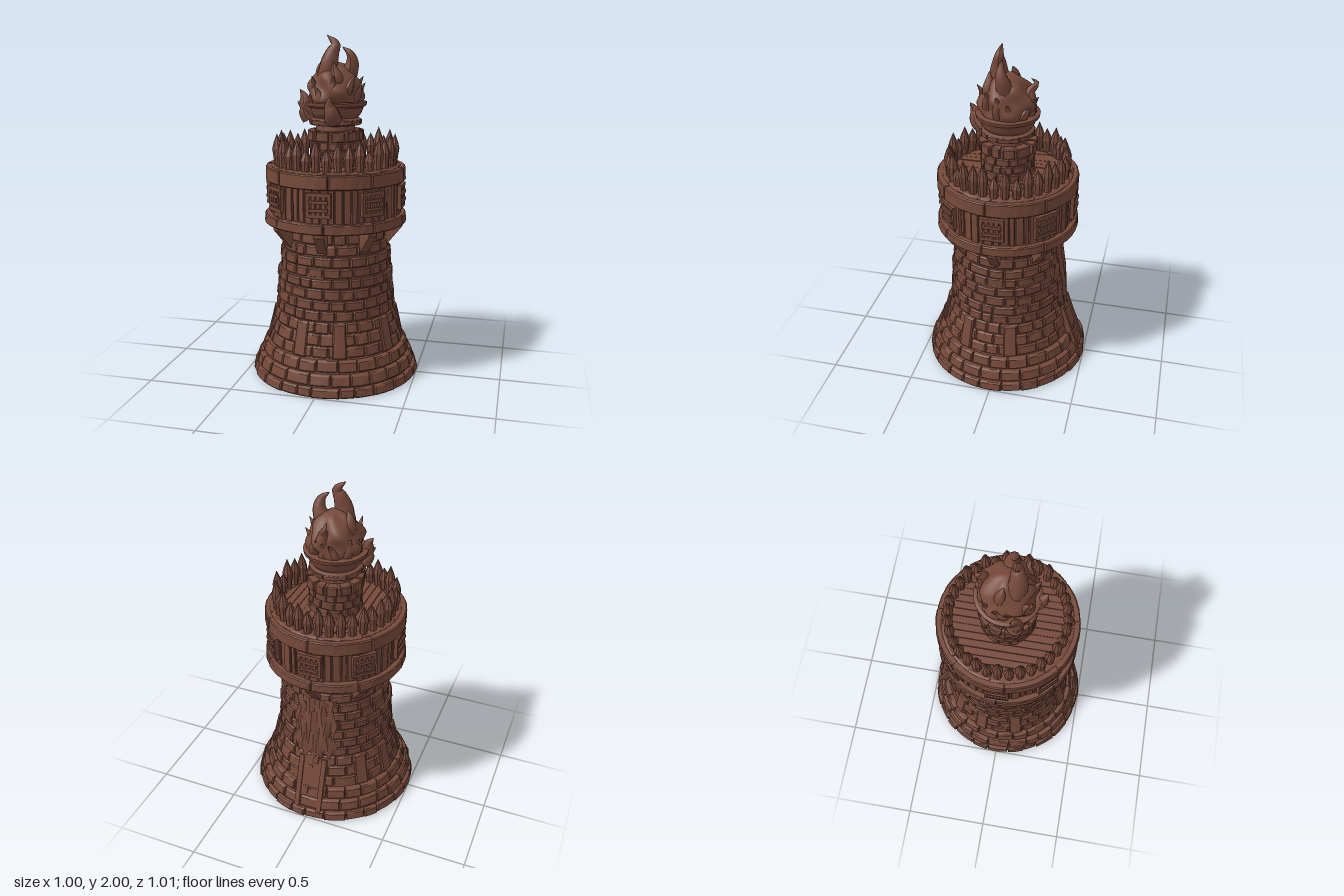
import * as THREE from 'three';
import { mergeGeometries } from 'three/addons/utils/BufferGeometryUtils.js';

const flat = new THREE.MeshStandardMaterial({ color: 0x75493a, flatShading: true });
const smooth = new THREE.MeshStandardMaterial({ color: 0x75493a });
const cloth = new THREE.MeshStandardMaterial({ color: 0x75493a, flatShading: true, side: THREE.DoubleSide });

let seed = 7;
const rnd = (a = 0, b = 1) => {
  seed = (seed * 16807) % 2147483647;
  return a + (b - a) * (seed / 2147483647);
};
const TAU = Math.PI * 2, DEG = Math.PI / 180;
const v = (x, y, z) => new THREE.Vector3(x, y, z);

function add(group, name, geometry, material = flat) {
  const mesh = new THREE.Mesh(geometry, material);
  mesh.name = name;
  group.add(mesh);
  return mesh;
}

// Geometry built facing +z, moved out to radius r and turned to angle a.
const around = (geo, a, r, y) => geo.translate(0, y, r).rotateY(a);

// Chamfered block bent round the tower axis, leaning from rb (foot) to rt (top).
function block(a0, a1, y0, y1, rb, rt, depth = 0.05, bevel = 0.007, seg = 4) {
  const g = new THREE.BoxGeometry(1, 1, 1, seg, 3, 1), p = g.attributes.position;
  const mx = Math.min(0.2, bevel / ((a1 - a0) * rb)), my = Math.min(0.25, bevel / (y1 - y0));
  for (let i = 0; i < p.count; i++) {
    let x = p.getX(i), y = p.getY(i);
    const outer = p.getZ(i) > 0;
    const edge = Math.abs(x) > 0.499 || Math.abs(y) > 0.499;
    if (Math.abs(y) < 0.4) y = Math.sign(y) * (0.5 - my);
    if (Math.abs(x) < 0.499 && Math.abs(x) > 0.499 - 1 / seg) x = Math.sign(x) * (0.5 - mx);
    const t = y + 0.5, a = a0 + (x + 0.5) * (a1 - a0);
    let r = rb + (rt - rb) * t;
    if (!outer) r -= depth;
    else r += edge ? -bevel : rnd(-0.002, 0.002);
    p.setXYZ(i, Math.sin(a) * r, y0 + (y1 - y0) * t, Math.cos(a) * r);
  }
  g.computeVertexNormals();
  return g;
}

// One ring of blocks with uneven widths and a small gap between them.
function course(n, y0, y1, rb, rt, { gap = 0.004, offset = 0, vary = 0.2, depth, bevel, seg, jut = 0.004 } = {}) {
  const cuts = Array.from({ length: n }, (_, i) => ((i + offset + rnd(-vary, vary)) / n) * TAU);
  return mergeGeometries(cuts.map((a, i) => {
    const b = i < n - 1 ? cuts[i + 1] : cuts[0] + TAU, j = rnd(-jut, jut), h = gap / rb / 2;
    return block(a + h, b - h, y0 + rnd(0, 0.002), y1 - rnd(0, 0.003), rb + j, rt + j, depth, bevel, seg);
  }));
}

// Tapering curved tongue: a tube whose radius follows a fat-then-pointed rule.
function tongue(points, radius) {
  const curve = new THREE.CatmullRomCurve3(points), n = 18, m = 10;
  const g = new THREE.TubeGeometry(curve, n, 1, m), p = g.attributes.position, q = v(0, 0, 0);
  for (let i = 0; i < p.count; i++) {
    const u = Math.floor(i / (m + 1)) / n, c = curve.getPointAt(u);
    const r = radius * (0.85 + 0.5 * u) * Math.pow(1 - u, 0.95) + 0.001;
    q.fromBufferAttribute(p, i).sub(c).multiplyScalar(r).add(c);
    p.setXYZ(i, q.x, q.y, q.z);
  }
  g.computeVertexNormals();
  return g;
}

// Wall radius by height, used by the core and the banner.
const PROFILE = [[0, 0.485], [0.06, 0.467], [0.13, 0.432], [0.2, 0.397], [0.3, 0.374], [0.4, 0.348], [0.6, 0.332], [0.8, 0.306], [0.89, 0.294]];
function wallRadius(y) {
  const i = Math.max(1, PROFILE.findIndex(([h]) => h >= y));
  const [y0, r0] = PROFILE[i - 1], [y1, r1] = PROFILE[i];
  return r0 + ((r1 - r0) * (y - y0)) / (y1 - y0);
}

function buildTower(root) {
  const g = new THREE.Group();
  g.name = 'stoneTower';
  root.add(g);
  // Core with the hollow shaft, flared foot, gallery underside and deck bed
  const pts = [[0, 0.85], [0.26, 0.85], [0.305, 0.15], [0.42, 0], ...PROFILE.map(([y, r]) => [r, y]),
    [0.39, 0.925], [0.4, 0.97], [0.372, 0.98], [0.372, 1.18], [0.39, 1.19], [0.385, 1.235], [0.33, 1.24], [0, 1.24]];
  add(g, 'core', new THREE.LatheGeometry(pts.map(([x, y]) => new THREE.Vector2(x, y)), 64));
  // Brick courses: foot, top, foot radius, top radius, count
  [[0, 0.055, 0.502, 0.492, 26], [0.06, 0.125, 0.48, 0.462, 24], [0.13, 0.195, 0.446, 0.43, 24],
    [0.2, 0.262, 0.405, 0.392, 24], [0.265, 0.332, 0.392, 0.375, 24], [0.335, 0.397, 0.375, 0.36, 24],
    [0.4, 0.459, 0.357, 0.353, 24], [0.462, 0.52, 0.352, 0.347, 22], [0.523, 0.586, 0.346, 0.341, 22],
    [0.59, 0.645, 0.345, 0.343, 22], [0.65, 0.706, 0.33, 0.327, 22], [0.71, 0.768, 0.332, 0.328, 20],
    [0.772, 0.832, 0.317, 0.313, 20], [0.836, 0.915, 0.306, 0.302, 20],
  ].forEach(([y0, y1, rb, rt, n], i) => add(g, 'brickCourse', course(n, y0, y1, rb, rt, { offset: (i % 2) / 2 })));
  // Tall tapered jambs around the blocked doorways
  [-17, 17, 63, 105, 225, 253, 287].forEach(d => {
    const a = d * DEG;
    add(g, 'doorJamb', block(a - 0.1, a + 0.1, 0.2, 0.395, 0.415, 0.37));
  });
  // Leaning framed slab at the back foot
  const rise = 0.36, run = 0.12, length = Math.hypot(rise, run), slab = new THREE.Group();
  slab.name = 'backSlab';
  add(slab, 'slabPanel', new THREE.BoxGeometry(0.13, length, 0.04));
  for (const s of [-1, 1]) add(slab, 'slabRail', new THREE.BoxGeometry(0.03, length, 0.06)).position.x = s * 0.072;
  slab.position.set(0, rise / 2 + 0.01, -0.403);
  slab.rotation.x = Math.atan2(run, rise);
  g.add(slab);
  // Torn cloth hanging on the back wall
  const banner = new THREE.PlaneGeometry(1, 1, 16, 14), p = banner.attributes.position;
  for (let i = 0; i < p.count; i++) {
    const x = p.getX(i), t = p.getY(i) + 0.5;
    const torn = 0.05 * Math.abs(Math.sin(x * 17)) + 0.06 * Math.abs(x);
    const y = 0.36 + torn * (1 - t) + t * 0.44;
    const a = Math.PI + x * (0.74 + 0.06 * Math.sin(t * 14));
    const r = wallRadius(y) + 0.021 + 0.007 * Math.sin(x * 22 + t * 5);
    p.setXYZ(i, Math.sin(a) * r, y, Math.cos(a) * r);
  }
  banner.computeVertexNormals();
  add(g, 'banner', banner, cloth);
}

function buildGallery(root) {
  const g = new THREE.Group();
  g.name = 'timberGallery';
  root.add(g);
  const beam = { seg: 12, gap: 0.002, bevel: 0.006, jut: 0.002 };
  add(g, 'lowerRing', course(8, 0.92, 0.98, 0.418, 0.415, beam));
  add(g, 'upperRing', course(8, 1.17, 1.254, 0.411, 0.409, { ...beam, depth: 0.06 }));
  add(g, 'wallPlanks', course(56, 0.975, 1.175, 0.386, 0.386, { seg: 3, depth: 0.025, bevel: 0.004, jut: 0.006 }));
  // Triangular brackets under the gallery
  const tri = new THREE.Shape([[0.27, 0.78], [0.312, 0.79], [0.4, 0.9], [0.4, 0.925], [0.27, 0.925]].map(q => new THREE.Vector2(...q)));
  for (let i = 0; i < 8; i++) {
    const a = (i / 8) * TAU;
    const bracket = new THREE.ExtrudeGeometry(tri, { depth: 0.055, bevelEnabled: false });
    add(g, 'bracket', bracket.translate(0, 0, -0.0275).rotateY(a - Math.PI / 2));
    // Barred window on each side: frame, upright and cross bars
    const parts = [];
    const bar = (w, h, x, y, out) => parts.push(around(new THREE.BoxGeometry(w, h, 0.022).translate(x, 0, 0), a, out, y));
    for (const s of [-1, 1]) {
      bar(0.02, 0.13, s * 0.06, 1.085, 0.392);
      bar(0.14, 0.02, 0, 1.085 + s * 0.06, 0.394);
    }
    for (const x of [-0.03, 0, 0.03]) bar(0.02, 0.11, x, 1.085, 0.392);
    for (const y of [-0.026, 0.02]) bar(0.11, 0.018, 0, 1.085 + y, 0.401);
    add(g, 'barredWindow', mergeGeometries(parts));
  }
  // Deck boards
  const boards = [];
  for (let i = -7; i <= 7; i++) {
    const x = i * 0.043, len = 2 * Math.sqrt(0.33 ** 2 - x * x);
    boards.push(new THREE.BoxGeometry(0.04, 0.02, len).translate(x, 1.243 + rnd(0, 0.006), 0));
  }
  add(g, 'deckBoards', mergeGeometries(boards));
  add(g, 'deckKerb', course(8, 1.24, 1.262, 0.385, 0.372, { ...beam, depth: 0.06 }));
  // Palisade of sharpened stakes, tall ones between shorter ones
  const count = 34, stake = [[0, 0], [0.023, 0], [0.025, 0.06], [0.031, 0.115], [0.022, 0.15], [0, 0.21]];
  for (let i = 0; i < count; i++) {
    const a = ((i + 0.5) / count) * TAU, s = i % 2 ? rnd(0.85, 1) : rnd(0.6, 0.9);
    const geo = new THREE.LatheGeometry(stake.map(([r, y]) => new THREE.Vector2(r, y * s)), 8);
    add(g, 'stake', around(geo.rotateY(rnd(0, 1)).rotateX(rnd(-0.05, 0.05)), a, 0.337, 1.245));
  }
}

function buildBrazier(root) {
  const g = new THREE.Group();
  g.name = 'brazier';
  root.add(g);
  // Pedestal and fire bowl
  const pts = [[0.145, 1.24], [0.145, 1.44], [0.115, 1.455], [0.112, 1.485], [0.145, 1.495], [0.15, 1.52], [0.13, 1.53],
    [0.15, 1.555], [0.162, 1.59], [0.178, 1.6], [0.182, 1.62], [0.165, 1.625], [0, 1.6]];
  add(g, 'pedestalAndBowl', new THREE.LatheGeometry(pts.map(q => new THREE.Vector2(...q)), 32));
  [1.25, 1.3, 1.35].forEach((y, i) =>
    add(g, 'pedestalBricks', course(14, y, y + 0.048, 0.155, 0.153, { offset: (i % 2) / 2, depth: 0.03, bevel: 0.005, jut: 0.003 })));
  add(g, 'pedestalCrown', course(12, 1.4, 1.46, 0.165, 0.165, { gap: 0.018, depth: 0.05, bevel: 0.005 }));
  add(g, 'bowlBand', course(8, 1.49, 1.522, 0.154, 0.154, { depth: 0.03, bevel: 0.005 }));
}

function buildFire(root) {
  const g = new THREE.Group();
  g.name = 'fire';
  root.add(g);
  // Swirled body
  const body = new THREE.SphereGeometry(1, 40, 28), p = body.attributes.position;
  for (let i = 0; i < p.count; i++) {
    const x = p.getX(i), y = p.getY(i), z = p.getZ(i), a = Math.atan2(x, z);
    const r = 0.152 * (1 - 0.14 * y) * (1 + 0.09 * Math.sin(a * 5 + y * 5) + 0.05 * Math.sin(a * 3 - y * 7));
    p.setXYZ(i, x * r, 1.69 + y * 0.155, z * r);
  }
  body.computeVertexNormals();
  add(g, 'fireBody', body, smooth);
  // Tall tongues, then the side ones that spill over the bowl
  [[0.088, v(-0.03, 1.72, 0.03), v(-0.04, 1.8, 0.05), v(-0.02, 1.87, 0.05)],
    [0.075, v(-0.03, 1.74, 0.04), v(-0.025, 1.83, 0.055), v(-0.005, 1.9, 0.05), v(0.012, 1.94, 0.045), v(-0.04, 1.995, 0.04)],
    [0.07, v(0.05, 1.7, 0), v(0.075, 1.77, 0), v(0.1, 1.84, 0.01), v(0.09, 1.89, 0.02), v(0.045, 1.93, 0.02)],
    [0.05, v(0.02, 1.64, -0.1), v(0.03, 1.7, -0.13), v(0.02, 1.76, -0.13), v(0, 1.8, -0.16), v(0, 1.825, -0.13)],
    [0.06, v(-0.06, 1.7, 0), v(-0.085, 1.76, -0.02), v(-0.09, 1.81, -0.02), v(-0.07, 1.86, -0.01)],
    [0.06, v(0, 1.68, 0.08), v(0.03, 1.75, 0.1), v(0.02, 1.8, 0.1), v(0.01, 1.85, 0.1)],
    [0.055, v(-0.12, 1.56, 0.06), v(-0.16, 1.61, 0.07), v(-0.17, 1.65, 0.06), v(-0.2, 1.69, 0.05)],
    [0.06, v(0.02, 1.53, 0.14), v(0.02, 1.56, 0.17), v(0.01, 1.61, 0.185), v(0.02, 1.66, 0.21)],
    [0.055, v(-0.14, 1.53, 0.06), v(-0.16, 1.56, 0.07), v(-0.17, 1.59, 0.07), v(-0.205, 1.62, 0.08)],
  ].forEach(([r, ...pts]) => add(g, 'flameTongue', tongue(pts, r), smooth));
  // Small licks curling out around the body
  for (let i = 0; i < 11; i++) {
    const a = (i / 11) * TAU + rnd(0, 0.3), y = 1.6 + rnd(0, 0.07), tw = rnd(-0.5, 0.5);
    const at = (r, h, t) => v(Math.sin(a + tw * t) * r, y + h, Math.cos(a + tw * t) * r);
    add(g, 'flameLick', tongue([at(0.11, -0.03, 0), at(0.14, 0.03, 0.3), at(0.145, 0.07, 0.7), at(0.17, 0.11, 1)], rnd(0.03, 0.042)), smooth);
  }
}

export function createModel() {
  seed = 7;
  const root = new THREE.Group();
  root.name = 'beaconTower';
  [buildTower, buildGallery, buildBrazier, buildFire].forEach(build => build(root));
  return root;
}
